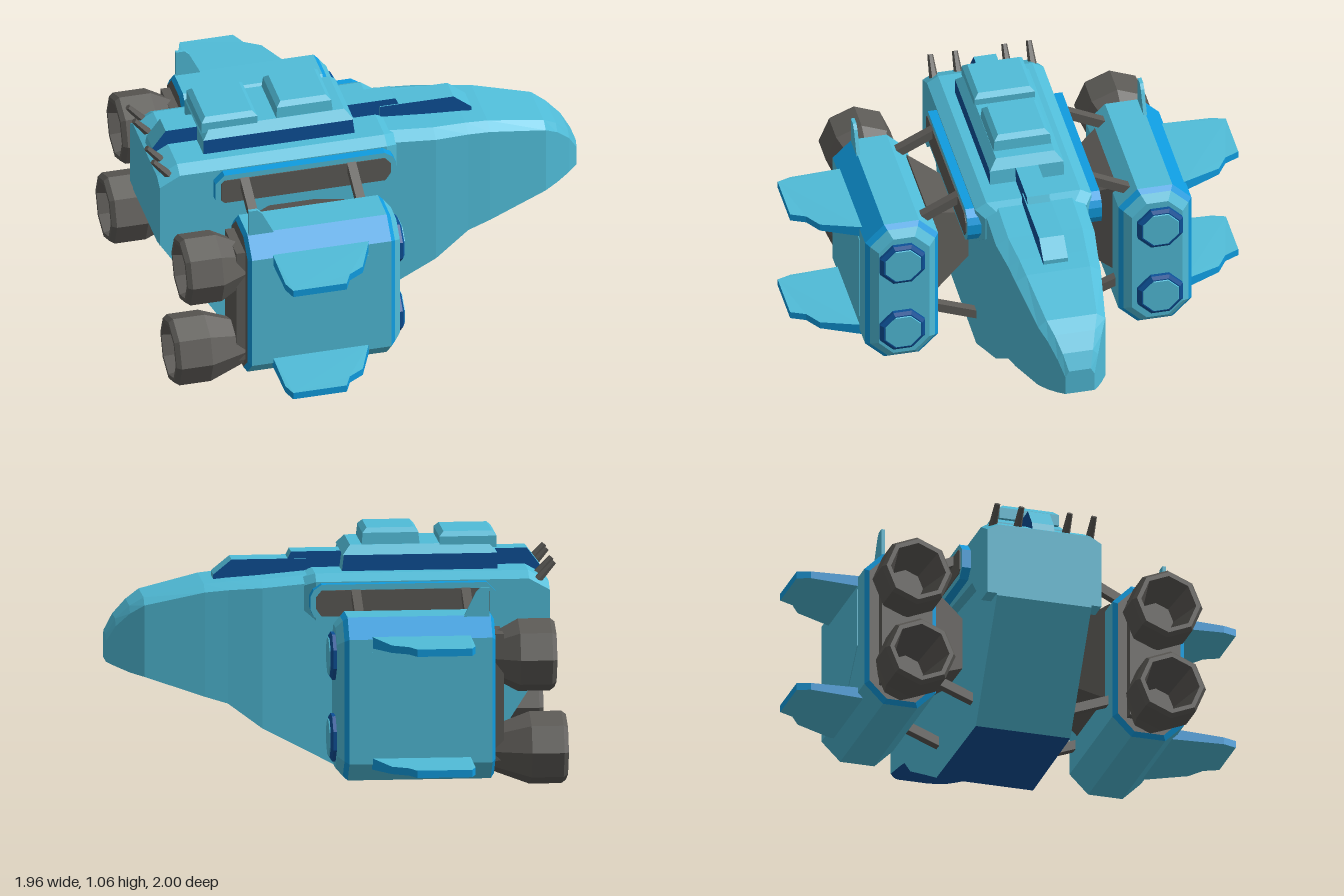
import * as THREE from 'three';

const mat = (name, color) => new THREE.MeshStandardMaterial({ name, color });

// Unshared corners give crisp facets
function flat(geo) {
  const g = geo.index ? geo.toNonIndexed() : geo;
  g.computeVertexNormals();
  return g;
}

// Skin through rings of [y, z] points placed along x; pick(segment, strip) chooses the material
function loft(sections, pick = () => 0, rearCap = 0) {
  const buckets = [[], [], []];
  const P = (s, k) => {
    const ring = sections[s].ring, p = ring[k % ring.length];
    return [sections[s].x, p[0], p[1]];
  };
  const n = sections[0].ring.length, last = sections.length - 1;
  for (let s = 0; s < last; s++) for (let k = 0; k < n; k++) {
    const a = P(s, k), b = P(s, k + 1), c = P(s + 1, k + 1), d = P(s + 1, k);
    buckets[pick(s, k)].push(...a, ...b, ...c, ...a, ...c, ...d);
  }
  for (let k = 1; k < n - 1; k++) {
    buckets[0].push(...P(last, 0), ...P(last, k), ...P(last, k + 1));
    buckets[rearCap].push(...P(0, 0), ...P(0, k + 1), ...P(0, k));
  }
  const geo = new THREE.BufferGeometry();
  geo.setAttribute('position', new THREE.Float32BufferAttribute(buckets.flat(), 3));
  let start = 0;
  buckets.forEach((b, i) => {
    if (b.length) geo.addGroup(start, b.length / 3, i);
    start += b.length / 3;
  });
  geo.computeVertexNormals();
  return geo;
}

// Six-sided hull ring with softened upper edges
const hullRing = (yb, yt, w, e = 0.05, c = 0.03) =>
  [[yt, w - e], [yt - c, w], [yb, w], [yb, -w], [yt - c, -w], [yt, -(w - e)]];

// Eight-sided ring with chamfered corners
const octRing = (yc, zc, h, w, c) => [[h, w - c], [h - c, w], [c - h, w], [-h, w - c],
  [-h, c - w], [c - h, -w], [h - c, -w], [h, c - w]].map(([y, z]) => [yc + y, zc + z]);

// Flat outline in x,y given thickness along z
const slab = (pts, depth) => new THREE.ExtrudeGeometry(
  new THREE.Shape(pts.map((p) => new THREE.Vector2(...p))), { depth, bevelEnabled: false });

// Box whose top is inset
function taperBox(x0, x1, y0, y1, hz, inset) {
  const w = x1 - x0, h = y1 - y0, g = new THREE.BoxGeometry(w, h, hz * 2), p = g.attributes.position;
  for (let i = 0; i < p.count; i++) if (p.getY(i) > 0) {
    p.setX(i, p.getX(i) * (1 - 2 * inset / w));
    p.setZ(i, p.getZ(i) * (1 - inset / hz));
  }
  return flat(g.translate((x0 + x1) / 2, (y0 + y1) / 2, 0));
}

export function createModel() {
  const cyan = mat('hull cyan', 0x50bcd8), blue = mat('bright blue', 0x0f9ce0);
  const navy = mat('navy', 0x0c5098), grey = mat('engine grey', 0x5c5a56);
  const model = new THREE.Group();
  const add = (parent, name, geo, material, x = 0, y = 0, z = 0) => {
    const m = new THREE.Mesh(geo, material);
    m.name = name;
    m.position.set(x, y, z);
    parent.add(m);
    return m;
  };

  // Main hull with navy belly: x, bottom, top, half width
  const hull = [[-0.94, 0.49, 0.83, 0.215], [-0.78, 0.24, 0.86, 0.215], [-0.63, 0, 0.87, 0.215],
    [-0.07, 0, 0.87, 0.22], [0.08, 0.08, 0.87, 0.22], [0.31, 0.2, 0.85, 0.22], [0.46, 0.31, 0.84, 0.2],
    [0.56, 0.34, 0.83, 0.19], [0.82, 0.425, 0.77, 0.15], [0.88, 0.44, 0.73, 0.12],
    [0.94, 0.463, 0.67, 0.09], [0.98, 0.48, 0.6, 0.065]];
  add(model, 'hull', loft(hull.map(([x, b, t, w]) => ({ x, ring: hullRing(b, t, w, w * 0.25) })),
    (s, k) => (k === 2 && s > 1 ? 1 : 0)), [cyan, navy]);

  // Wider upper body
  const upper = [[-0.94, 0.5, 0.83, 0.26], [-0.85, 0.5, 0.88, 0.26], [-0.72, 0.64, 0.88, 0.26],
    [0.08, 0.68, 0.88, 0.26], [0.13, 0.72, 0.86, 0.225]];
  add(model, 'upperBody', loft(upper.map(([x, b, t, w]) => ({ x, ring: hullRing(b, t, w) }))), cyan);

  // Dorsal spine and deck with navy flanks
  add(model, 'rearSpine', slab([[-0.93, 0.82], [0.19, 0.82], [0.19, 0.91], [0.17, 0.95], [-0.86, 0.95],
    [-0.92, 0.87]], 0.1), [navy, cyan], 0, 0, -0.05);
  add(model, 'frontSpine', slab([[0.1, 0.82], [0.51, 0.82], [0.51, 0.855], [0.43, 0.92], [0.1, 0.92]], 0.11),
    [navy, cyan], 0, 0, -0.055);
  add(model, 'deckBase', slab([[-0.72, 0.87], [-0.04, 0.87], [-0.05, 0.95], [-0.72, 0.95]], 0.33),
    [navy, cyan], 0, 0, -0.165);
  add(model, 'deckTop', taperBox(-0.72, -0.045, 0.95, 0.99, 0.165, 0.035), cyan);
  add(model, 'rearHatch', taperBox(-0.72, -0.47, 0.97, 1.02, 0.135, 0), cyan);
  add(model, 'rearHatchLid', taperBox(-0.72, -0.47, 1.02, 1.04, 0.135, 0.02), cyan);
  add(model, 'frontHatch', taperBox(-0.385, -0.13, 0.98, 1.04, 0.13, 0.006), cyan);
  add(model, 'frontHatchLid', taperBox(-0.38, -0.135, 1.04, 1.06, 0.124, 0.02), cyan);

  // Rear guns
  for (const z of [-0.22, -0.11, 0.11, 0.22]) {
    const gun = add(model, 'gun', flat(new THREE.CylinderGeometry(0.013, 0.022, 0.14, 6)), grey, -0.915, 0.865, z);
    gun.rotation.z = 0.73;
  }

  // Everything on one flank, built at +z and mirrored
  for (const side of [1, -1]) {
    const flank = new THREE.Group();
    flank.name = side > 0 ? 'frontFlank' : 'backFlank';
    flank.scale.z = side;
    model.add(flank);

    // Long side bay with grey inset
    const bay = (i) => [[-0.7 + i, 0.72], [-0.66, 0.68 + i], [0.06, 0.68 + i], [0.095 - i, 0.705 + i / 2],
      [0.11 - i, 0.74], [0.11 - i, 0.79], [0.095 - i, 0.82 - i / 2], [0.06, 0.845 - i],
      [-0.66, 0.845 - i], [-0.7 + i, 0.805]];
    add(flank, 'bayRim', slab(bay(0), 0.08), [cyan, blue], 0, 0, 0.22);
    add(flank, 'bayPanel', slab(bay(0.025), 0.006), grey, 0, 0, 0.298);

    // Engine pod: blue outer shoulder and blue edge trim
    const pod = [[-0.66, 0.02], [-0.645, 0], [-0.02, 0], [0, 0.018], [0.03, 0.05]];
    add(flank, 'pod', loft(pod.map(([x, i]) => ({ x, ring: octRing(0.4, 0.565, 0.36 - i, 0.163 - i, 0.085 - i * 0.4) })),
      (s, k) => (s === 0 || s === 2 || (s === 1 && k === 0) ? 1 : 0), 2), [cyan, blue, grey]);
    add(flank, 'podPanel', slab([[-0.55, 0.35], [-0.41, 0.2], [-0.12, 0.2], [-0.12, 0.62], [-0.55, 0.62]], 0.005),
      cyan, 0, 0, 0.726);
    add(flank, 'podRearBlock', new THREE.BoxGeometry(0.06, 0.56, 0.2), grey, -0.67, 0.4, 0.565);

    // Front lamps
    for (const y of [0.22, 0.58]) {
      const ring = (r) => octRing(y, 0.575, r, r, r * 0.586);
      add(flank, 'lampRim', loft([{ x: 0.02, ring: ring(0.1) }, { x: 0.045, ring: ring(0.1) },
        { x: 0.055, ring: ring(0.085) }]), navy);
      add(flank, 'lampFace', loft([{ x: 0.05, ring: ring(0.082) }, { x: 0.06, ring: ring(0.078) }]), cyan);
    }

    // Hollow eight-sided nozzles
    for (const [y, len] of [[0.57, 0.27], [0.16, 0.32]]) {
      const prof = [[0.1, 0], [0.16, len - 0.16], [0.16, len - 0.02], [0.145, len], [0.125, len],
        [0.08, 0.08], [0, 0.08]].map((p) => new THREE.Vector2(...p));
      const nozzle = add(flank, 'nozzle', flat(new THREE.LatheGeometry(prof, 8)), grey, -0.66, y, 0.57);
      nozzle.rotation.z = Math.PI / 2;
    }

    // Horizontal winglets with blue edges
    for (const y of [0.125, 0.66]) {
      const plan = [[-0.12, -0.7], [-0.12, -0.72], [-0.19, -0.89], [-0.26, -0.935], [-0.29, -1], [-0.53, -1],
        [-0.55, -0.94], [-0.55, -0.7]];
      const g = slab(plan.reverse(), 0.05), p = g.attributes.position;
      for (let i = 0; i < p.count; i++) if (p.getY(i) < -0.88) p.setZ(i, 0.025 + (p.getZ(i) - 0.025) * 0.65);
      g.rotateX(-Math.PI / 2);
      g.translate(0, -0.025, 0);
      add(flank, 'winglet', flat(g), [cyan, blue], 0, y, 0);
    }
    add(flank, 'tailFin', slab([[-0.64, 0.72], [-0.51, 0.72], [-0.58, 0.86], [-0.6, 0.88], [-0.64, 0.88]], 0.016),
      cyan, 0, 0, 0.632);

    // Flared mount between hull and pod
    const mount = taperBox(-0.215, 0.215, 0, 0.22, 0.23, 0.12);
    mount.rotateX(-Math.PI / 2);
    add(flank, 'podMount', mount, grey, -0.335, 0.48, 0.42);

    // Square struts
    for (const x of [-0.57, -0.09]) for (const [y0, z0, y1, z1] of [[0.82, 0.26, 0.72, 0.46], [0.15, 0.2, 0.24, 0.43]]) {
      const bar = add(flank, 'strut', new THREE.BoxGeometry(0.04, 0.04, Math.hypot(y1 - y0, z1 - z0)), grey,
        x, (y0 + y1) / 2, (z0 + z1) / 2);
      bar.rotation.x = -Math.atan2(y1 - y0, z1 - z0);
    }
  }
  return model;
}
